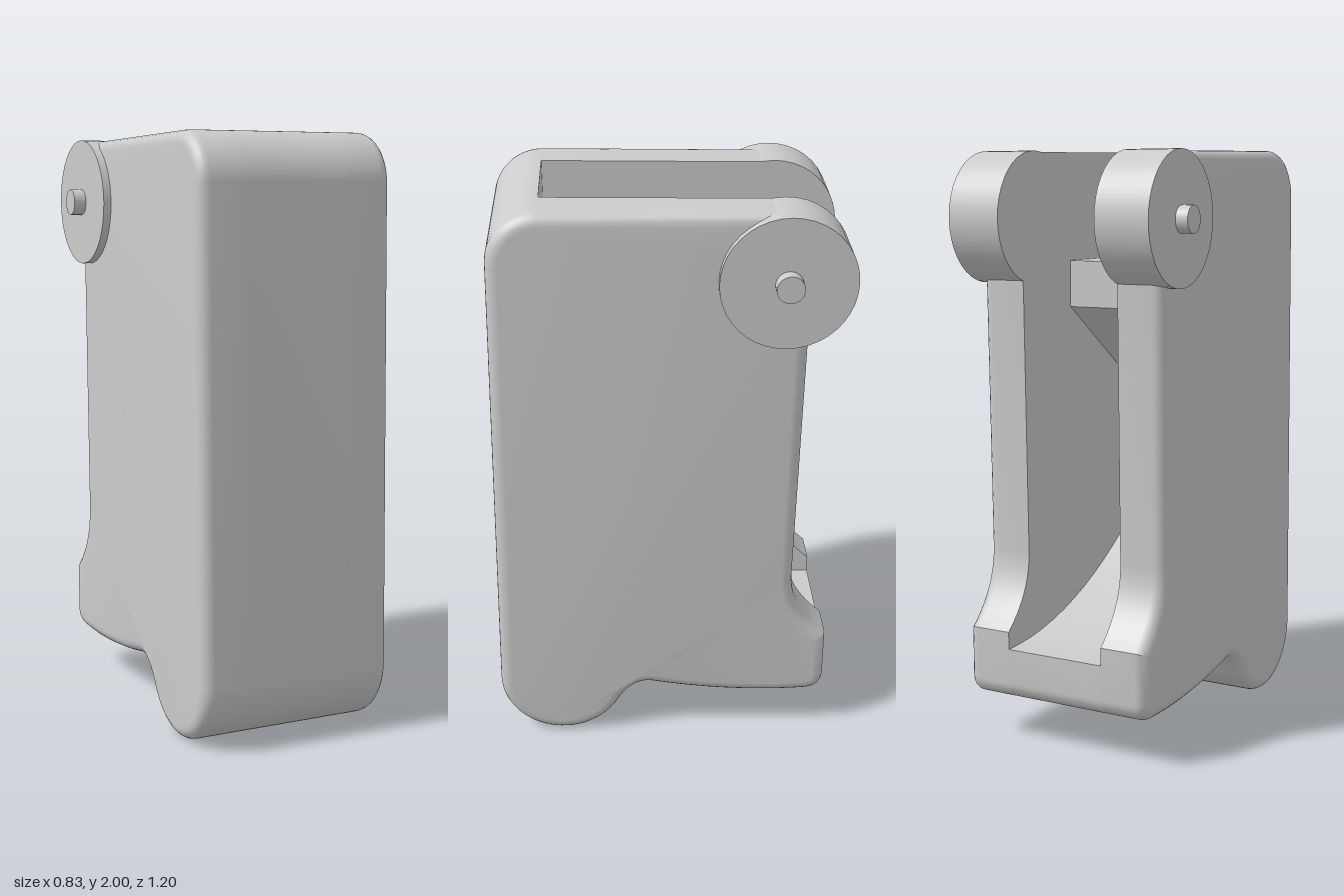
import * as THREE from 'three';
import { toCreasedNormals } from 'three/addons/utils/BufferGeometryUtils.js';

const material = new THREE.MeshStandardMaterial({ color: 0xcccccc });
const SLOT = 0.18, SIDE = 0.345, FILLET = 0.04;

// Front and bottom edge shared by every slice; shape x is the model's z
function lowerEdge(shape) {
  shape.absarc(0.375, 0.225, 0.225, 0, -2.618, true);
  shape.quadraticCurveTo(0.127, 0.205, 0.06, 0.2);
  shape.bezierCurveTo(-0.1, 0.165, -0.3, 0.14, -0.5, 0.15);
  shape.quadraticCurveTo(-0.57, 0.155, -0.57, 0.22);
}

function topEdge(shape) {
  shape.lineTo(0.4, 2.0);
  shape.absarc(0.4, 1.83, 0.17, Math.PI / 2, 0, true);
  shape.lineTo(0.6, 0.225);
}

// Counter-clockwise outline without repeated points
function outline(shape) {
  let pts = shape.getPoints(14);
  pts = pts.filter((p, i) => p.distanceTo(pts[(i + 1) % pts.length]) > 1e-4);
  return THREE.ShapeUtils.isClockWise(pts) ? pts.reverse() : pts;
}

// Moves every outline point inward along its mitred normal
function inset(pts, amount) {
  const n = pts.length;
  return pts.map((p, i) => {
    const a = p.clone().sub(pts[(i + n - 1) % n]).normalize();
    const b = pts[(i + 1) % n].clone().sub(p).normalize();
    const m = new THREE.Vector2(-a.y - b.y, a.x + b.x).normalize();
    const k = Math.max(0.5, m.dot(new THREE.Vector2(-a.y, a.x)));
    return p.clone().addScaledVector(m, amount / k);
  });
}

// Solid from one outline swept along x; rings are [x, inset] with rising x
function sweep(pts, rings) {
  const pos = [];
  const loops = rings.map(([x, d]) => inset(pts, d).map(p => [x, p.y, p.x]));
  const n = pts.length;
  for (let r = 0; r < loops.length - 1; r++) {
    const a = loops[r], b = loops[r + 1];
    for (let i = 0; i < n; i++) {
      const j = (i + 1) % n;
      pos.push(...a[i], ...b[i], ...a[j], ...a[j], ...b[i], ...b[j]);
    }
  }
  const first = loops[0], last = loops[loops.length - 1];
  for (const [i, j, k] of THREE.ShapeUtils.triangulateShape(pts, [])) {
    pos.push(...first[i], ...first[j], ...first[k]);
    pos.push(...last[i], ...last[k], ...last[j]);
  }
  const geo = new THREE.BufferGeometry();
  geo.setAttribute('position', new THREE.Float32BufferAttribute(pos, 3));
  return toCreasedNormals(geo, 0.6);
}

export function createModel() {
  const model = new THREE.Group();
  const add = (name, geo) => {
    const mesh = new THREE.Mesh(geo, material);
    mesh.name = name;
    model.add(mesh);
    return mesh;
  };

  // Side wall profile with the notch above the rear lip
  const wall = new THREE.Shape();
  lowerEdge(wall);
  wall.lineTo(-0.57, 0.39);
  wall.quadraticCurveTo(-0.44, 0.5, -0.44, 0.64);
  wall.lineTo(-0.455, 1.53);
  wall.lineTo(-0.46, 1.62);
  wall.lineTo(-0.45, 1.9);
  wall.lineTo(-0.38, 1.985);
  topEdge(wall);
  const wallPts = outline(wall);

  // Middle profile: curved slot floor, inner ledge and front wall
  const core = new THREE.Shape();
  lowerEdge(core);
  core.lineTo(-0.57, 0.33);
  core.quadraticCurveTo(-0.08, 0.33, 0.4, 0.75);
  core.lineTo(0.4, 1.06);
  core.lineTo(-0.16, 1.46);
  core.lineTo(-0.16, 1.62);
  core.lineTo(0.4, 1.62);
  topEdge(core);
  add('slottedCore', sweep(outline(core), [[-SLOT, 0], [SLOT, 0]]));

  // Rounded outer rim of a wall
  const rim = [];
  for (let i = 0; i <= 5; i++) {
    const t = (i / 5) * Math.PI / 2;
    rim.push([SIDE - FILLET * (1 - Math.sin(t)), FILLET * (1 - Math.cos(t))]);
  }
  const leftRings = [[SLOT, 0], ...rim];
  const rightRings = leftRings.map(([x, d]) => [-x, d]).reverse();

  for (const [side, s, rings] of [['left', 1, leftRings], ['right', -1, rightRings]]) {
    add(side + 'Wall', sweep(wallPts, rings));

    // Hinge boss and its pin
    for (const [part, r, x0, x1] of [['HingeBoss', 0.22, SLOT, 0.372], ['HingePin', 0.045, 0.3, 0.415]]) {
      const geo = new THREE.CylinderGeometry(r, r, x1 - x0, 40);
      geo.rotateZ(Math.PI / 2);
      add(side + part, geo).position.set(s * (x0 + x1) / 2, 1.77, -0.38);
    }
  }
  return model;
}
